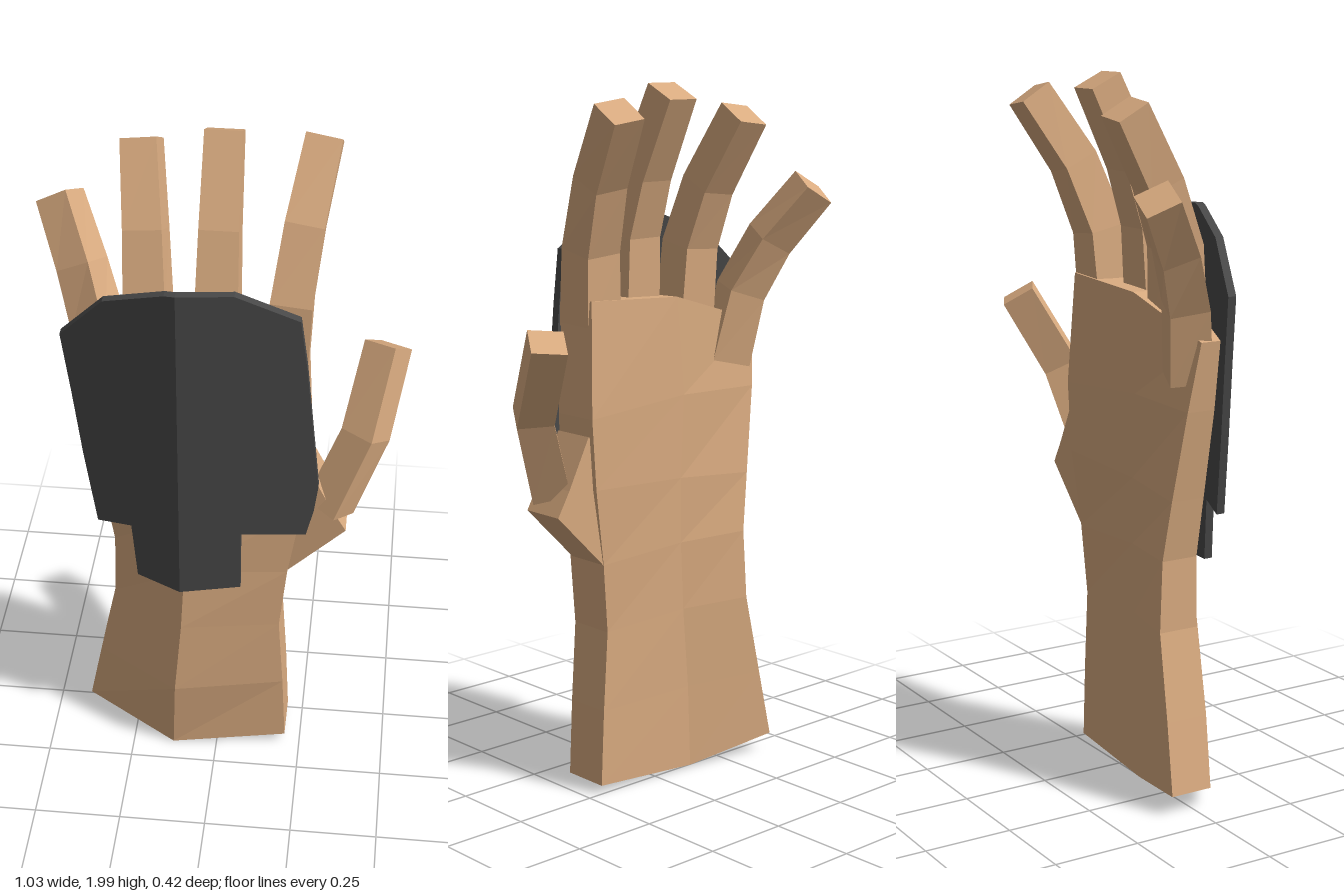
import * as THREE from 'three';

const skin = new THREE.MeshStandardMaterial({ color: 0xd9ab80, flatShading: true });
const dark = new THREE.MeshStandardMaterial({ color: 0x484848, flatShading: true });

// Joins rings of points into a closed faceted skin; rings run counter-clockwise seen from the far end.
function loft(rings) {
  const out = [];
  const tri = (a, b, c) => [a, b, c].forEach((p) => out.push(p.x, p.y, p.z));
  const n = rings[0].length;
  for (let r = 0; r < rings.length - 1; r++) {
    const a = rings[r], b = rings[r + 1];
    for (let i = 0; i < n; i++) {
      const j = (i + 1) % n;
      tri(a[i], a[j], b[j]);
      tri(a[i], b[j], b[i]);
    }
  }
  // End caps fan out from the second point
  const first = rings[0], last = rings[rings.length - 1];
  for (let i = 2; i < n; i++) {
    const j = (i + 1) % n;
    tri(first[1], first[j], first[i]);
    tri(last[1], last[i], last[j]);
  }
  const g = new THREE.BufferGeometry();
  g.setAttribute('position', new THREE.Float32BufferAttribute(out, 3));
  g.computeVertexNormals();
  return g;
}

// Square bent bar along a path, its width lying along the side direction.
function fingerGeometry(path, side, w0, w1) {
  const pts = path.map((p) => new THREE.Vector3(...p));
  const rings = pts.map((p, i) => {
    const prev = pts[Math.max(i - 1, 0)], next = pts[Math.min(i + 1, pts.length - 1)];
    const t = next.clone().sub(prev).normalize();
    const u = new THREE.Vector3(...side);
    u.addScaledVector(t, -u.dot(t)).normalize();
    const v = u.clone().cross(t);
    const h = THREE.MathUtils.lerp(w0, w1, i / (pts.length - 1)) / 2;
    return [[-1, 1], [1, 1], [1, -1], [-1, -1]].map(([a, b]) =>
      p.clone().addScaledVector(u, a * h).addScaledVector(v, b * h));
  });
  return loft(rings);
}

// Half of the guard, sheared back from the ridge by a slope.
function plateHalf(outline, ridgeX, slope) {
  const shape = new THREE.Shape(outline.map(([x, y]) => new THREE.Vector2(x, y)));
  const g = new THREE.ExtrudeGeometry(shape, { depth: 0.025, bevelEnabled: false });
  const p = g.attributes.position;
  for (let i = 0; i < p.count; i++) {
    p.setZ(i, p.getZ(i) + 0.183 - slope * Math.abs(p.getX(i) - ridgeX));
  }
  g.computeVertexNormals();
  return g;
}

export function createModel() {
  const group = new THREE.Group();
  const add = (name, geometry, material, parent = group) => {
    const m = new THREE.Mesh(geometry, material);
    m.name = name;
    parent.add(m);
  };

  // Forearm and palm: left, ridge and right x,y, then front z and back z of each
  const sections = [
    [-0.4, 0.06, -0.13, 0.005, 0.205, 0.03, 0.05, 0.18, 0.14, -0.075, -0.012, 0],
    [-0.36, 0.26, -0.12, 0.25, 0.195, 0.25, 0.06, 0.205, 0.14, -0.067, -0.012, 0],
    [-0.31, 0.5, -0.1, 0.49, 0.18, 0.48, 0.06, 0.195, 0.14, -0.06, -0.012, 0],
    [-0.305, 0.7, -0.09, 0.69, 0.2, 0.68, 0.06, 0.18, 0.135, -0.05, -0.012, -0.008],
    [-0.33, 0.87, -0.09, 0.88, 0.235, 0.9, 0.065, 0.172, 0.13, -0.037, -0.012, -0.02],
    [-0.37, 1.12, -0.1, 1.12, 0.25, 1.1, 0.07, 0.165, 0.12, -0.015, -0.012, -0.022],
    [-0.395, 1.31, -0.08, 1.4, 0.235, 1.42, 0.07, 0.155, 0.12, 0.01, -0.005, -0.005],
  ];
  const V = (x, y, z) => new THREE.Vector3(x, y, z);
  add('forearmAndPalm', loft(sections.map(([xl, yl, xm, ym, xr, yr, fl, fm, fr, bl, bm, br]) => [
    V(xl, yl, fl), V(xm, ym, fm), V(xr, yr, fr),
    V(xr, yr, br), V(xm, ym + 0.005, bm), V(xl, yl, bl),
  ])), skin);

  // Thumb root wedge
  const wedge = new THREE.Shape([[0.14, 0.7], [0.2, 0.68], [0.36, 0.84], [0.32, 0.91], [0.25, 1.05], [0.14, 1.0]]
    .map(([x, y]) => new THREE.Vector2(x, y)));
  const wedgeGeometry = new THREE.ExtrudeGeometry(wedge, { depth: 0.133, bevelEnabled: false });
  wedgeGeometry.translate(0, 0, -0.006);
  add('thumbRoot', wedgeGeometry, skin);

  // Fingers: path, side direction, base and tip widths
  const fingers = {
    thumb: [[[0.31, 0.895, 0.09], [0.4, 1.12, 0.045], [0.447, 1.34, -0.075]], [0.85, 0, 0.53], 0.105, 0.097],
    indexFinger: [[[0.178, 1.34, 0.067], [0.19, 1.55, 0.05], [0.215, 1.74, -0.02], [0.252, 1.93, -0.14]], [1, 0, 0], 0.12, 0.097],
    middleFinger: [[[-0.005, 1.32, 0.112], [0, 1.58, 0.095], [0, 1.75, 0.04], [0, 1.975, -0.07]], [1, 0, 0], 0.12, 0.097],
    ringFinger: [[[-0.18, 1.28, 0.077], [-0.19, 1.54, 0.06], [-0.2, 1.71, -0.002], [-0.222, 1.91, -0.12]], [1, 0.05, 0.06], 0.12, 0.097],
    littleFinger: [[[-0.3, 1.2, 0.03], [-0.335, 1.4, 0], [-0.385, 1.55, -0.065], [-0.455, 1.7, -0.167]], [1, 0, 0.42], 0.115, 0.097],
  };
  for (const [name, args] of Object.entries(fingers)) add(name, fingerGeometry(...args), skin);

  // Guard plate folded along a ridge
  const guard = new THREE.Group();
  guard.name = 'handGuard';
  group.add(guard);
  const ridge = -0.1;
  add('guardLeft', plateHalf([
    [ridge, 0.64], [0.07, 0.65], [0.07, 0.845], [0.25, 0.835], [0.27, 0.92], [0.28, 1.0],
    [0.24, 1.4], [0.22, 1.55], [0.05, 1.635], [ridge, 1.64],
  ], ridge, 0.17), dark, guard);
  add('guardRight', plateHalf([
    [ridge, 1.64], [-0.13, 1.635], [-0.3, 1.57], [-0.425, 1.43], [-0.4, 1.25], [-0.375, 1.05],
    [-0.34, 0.82], [-0.24, 0.835], [-0.225, 0.66], [ridge, 0.64],
  ], ridge, 0.34), dark, guard);

  return group;
}
